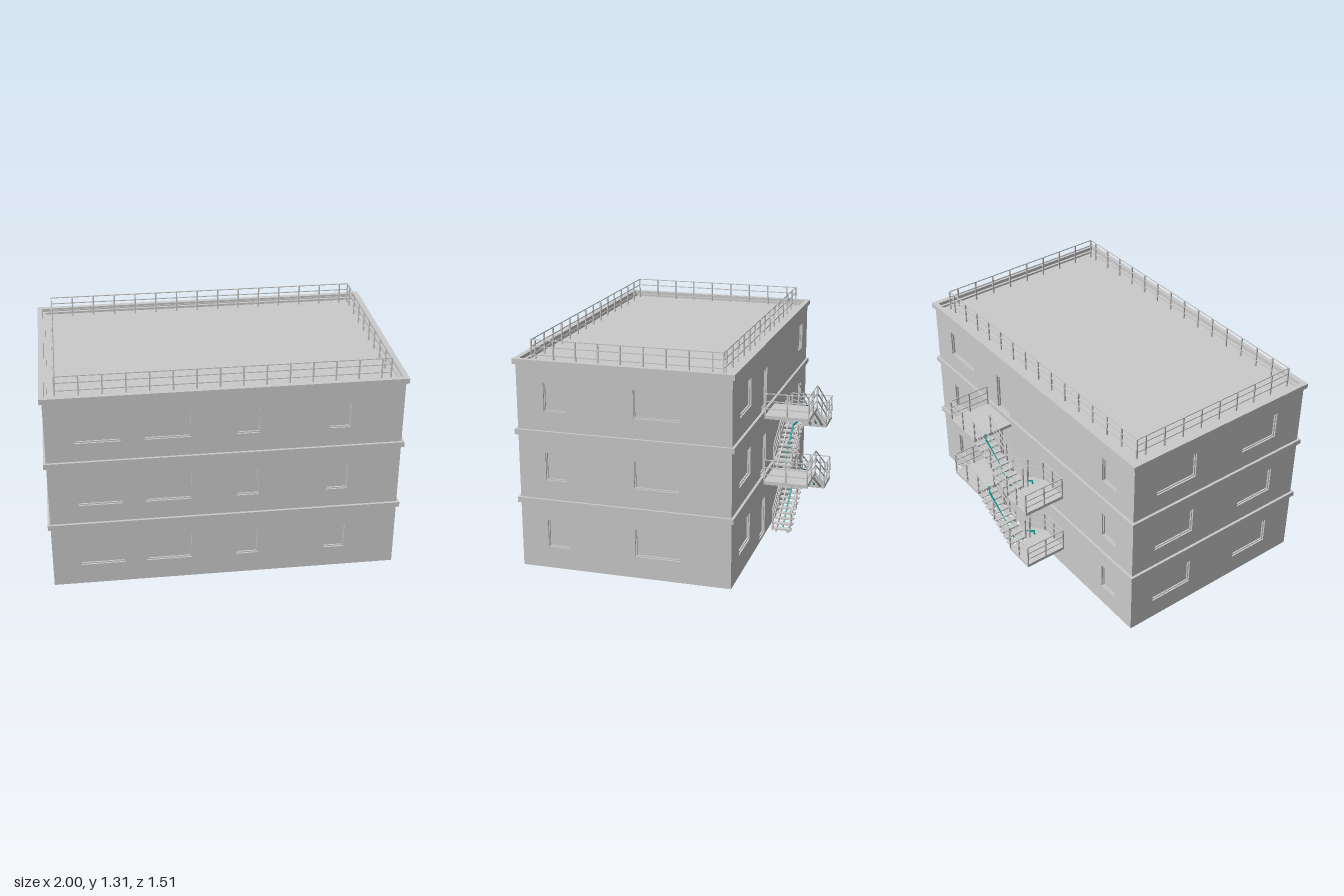
import * as THREE from 'three';

const grey = new THREE.MeshStandardMaterial({ color: 0xcacaca });
grey.name = 'concreteGrey';
const teal = new THREE.MeshStandardMaterial({ color: 0x00968f });
teal.name = 'tealLine';

export function createModel() {
  const model = new THREE.Group();
  model.name = 'building';

  const add = (parent, name, geo, mat = grey) => {
    const m = new THREE.Mesh(geo, mat);
    m.name = name;
    parent.add(m);
    return m;
  };
  const group = (parent, name) => {
    const g = new THREE.Group();
    g.name = name;
    parent.add(g);
    return g;
  };
  // Box given by its limits
  const box = (parent, name, x0, x1, y0, y1, z0, z1) => {
    const m = add(parent, name, new THREE.BoxGeometry(x1 - x0, y1 - y0, z1 - z0));
    m.position.set((x0 + x1) / 2, (y0 + y1) / 2, (z0 + z1) / 2);
  };
  // Rectangular bar between two points
  const bar = (parent, name, a, b, mat = grey, w = 0.005, t = 0.005) => {
    const p = new THREE.Vector3(...a), q = new THREE.Vector3(...b);
    const m = add(parent, name, new THREE.BoxGeometry(w, t, p.distanceTo(q)), mat);
    m.position.copy(p).add(q).multiplyScalar(0.5);
    m.lookAt(q);
  };
  const rect = (T, u0, u1, y0, y1) => new T().moveTo(u0, y0).lineTo(u1, y0).lineTo(u1, y1).lineTo(u0, y1).closePath();
  const extrude = (shape, depth) => new THREE.ExtrudeGeometry(shape, { depth, bevelEnabled: false });

  // Walls with recessed windows and doors; u runs along the wall seen from outside
  const STOREY = 0.395;
  const wall = (name, u0, u1, x, z, turn, windows, door) => {
    const g = group(model, name);
    g.position.set(x, 0, z);
    g.rotation.y = turn;
    const shape = rect(THREE.Shape, u0, u1, 0.015, 1.195);
    const openings = [];
    for (let f = 0; f < 3; f++) {
      for (const [a, b] of windows) openings.push(['window', a, b, 0.14 + f * STOREY, 0.30 + f * STOREY]);
      if (door) openings.push(['door', ...door, 0.032 + f * STOREY, 0.262 + f * STOREY]);
    }
    for (const [kind, a, b, c, d] of openings) {
      shape.holes.push(rect(THREE.Path, a, b, c, d));
      const ring = rect(THREE.Shape, a, b, c, d);
      ring.holes.push(rect(THREE.Path, a + 0.006, b - 0.006, c + 0.006, d - 0.006));
      add(g, kind + 'Frame', extrude(ring, 0.012)).position.z = 0.009;
      box(g, kind + 'Panel', a, b, c, d, 0.004, 0.012);
    }
    add(g, name + 'Shell', extrude(shape, 0.03));
  };
  wall('frontWall', -0.985, 0.985, 0, 0.71, 0, [[-0.825, -0.575], [-0.45, -0.195], [0.06, 0.185], [0.57, 0.69]]);
  wall('backWall', -0.985, 0.985, 0, -0.437, Math.PI, [[-0.82, -0.57], [0.71, 0.835]], [-0.317, -0.187]);
  wall('rightWall', -0.71, 0.437, 0.955, 0, Math.PI / 2, [[-0.585, -0.46], [-0.075, 0.18]]);
  wall('leftWall', -0.437, 0.71, -0.955, 0, -Math.PI / 2, [[-0.31, -0.04], [0.30, 0.55]]);

  // Plinth, floors, projecting bands and slightly recessed roof
  box(model, 'plinth', -0.95, 0.95, 0, 0.02, -0.435, 0.707);
  box(model, 'groundSlab', -0.955, 0.955, 0.015, 0.03, -0.437, 0.71);
  for (const y of [0.395, 0.79]) box(model, 'floorBand', -1, 1, y, y + 0.03, -0.482, 0.755);
  const DECK = 1.183;
  box(model, 'roofDeck', -0.955, 0.955, DECK - 0.02, DECK, -0.437, 0.71);
  const coping = rect(THREE.Shape, -1, 1, -0.755, 0.482);
  coping.holes.push(rect(THREE.Path, -0.97, 0.97, -0.725, 0.452));
  const cap = add(model, 'parapetCoping', extrude(coping, 0.03));
  cap.rotation.x = -Math.PI / 2;
  cap.position.y = 1.185;

  // Roof railing
  const roofRail = group(model, 'roofRailing');
  const X = 0.915, ZB = -0.4, ZF = 0.675;
  for (const y of [1.222, 1.268, 1.306]) {
    for (const z of [ZB, ZF]) bar(roofRail, 'rail', [-X, y, z], [X, y, z]);
    for (const x of [-X, X]) bar(roofRail, 'rail', [x, y, ZB], [x, y, ZF]);
  }
  const post = (parent, x, y0, y1, z) => box(parent, 'post', x - 0.004, x + 0.004, y0, y1, z - 0.004, z + 0.004);
  for (const z of [ZB, ZF]) {
    for (let i = 0; i < 15; i++) post(roofRail, -X + i * 0.127, DECK, 1.308, z);
    post(roofRail, X, DECK, 1.308, z);
  }
  for (const x of [-X, X]) for (let i = 1; i < 9; i++) post(roofRail, x, DECK, 1.308, ZF - i * 0.127);

  // Outside stair: landings, flights and their railings
  const stair = group(model, 'outsideStair');
  const XL = -0.195, XR = 0.128, ZI = -0.503, ZO = -0.752, HI = 0.128;
  const MIDDLE = [0.22, 0.615], MAIN = [0.425, 0.82];
  const guard = (a, b) => {
    for (const h of [0.04, 0.083, HI]) bar(stair, 'guardRail', [a[0], a[1] + h, a[2]], [b[0], b[1] + h, b[2]]);
    for (const t of [0, 0.5, 1]) {
      const y = a[1] + (b[1] - a[1]) * t;
      post(stair, a[0] + (b[0] - a[0]) * t, y - 0.01, y + HI + 0.002, a[2] + (b[2] - a[2]) * t);
    }
  };
  for (const y of MIDDLE) {
    box(stair, 'middleLanding', -0.385, XL, y - 0.02, y, -0.755, -0.5);
    guard([-0.382, y, ZI], [-0.382, y, ZO]);
    for (const z of [ZI, ZO]) guard([-0.382, y, z], [XL, y, z]);
  }
  for (const y of MAIN) {
    box(stair, 'mainLanding', XR, 0.38, y - 0.02, y, -0.755, -0.5);
    guard([0.377, y, ZI], [0.377, y, ZO]);
    guard([XR, y, ZO], [0.377, y, ZO]);
  }

  const STEPS = 10;
  const flight = (y0, y1, z0, z1, xa, xb, kink) => {
    const rise = (y1 - y0) / STEPS, run = (xb - xa) / (STEPS - 1), zc = (z0 + z1) / 2;
    for (let k = 1; k < STEPS; k++) {
      const a = xa + run * (k - 1), b = xa + run * k, y = y0 + rise * k;
      box(stair, 'tread', Math.min(a, b), Math.max(a, b), y - 0.008, y, z0, z1);
    }
    // Sloping stringers below the treads
    const s = new THREE.Shape().moveTo(xa, y0).lineTo(xa, y0 + rise - 0.004).lineTo(xb, y1 - 0.004)
      .lineTo(xb, y1 - 0.034).lineTo(xa + run, y0).closePath();
    for (const z of [zc - 0.036, zc + 0.036]) add(stair, 'stringer', extrude(s, 0.008)).position.z = z - 0.004;
    for (const z of [z0 + 0.0025, z1 - 0.0025]) guard([xa, y0 + rise, z], [xb, y1, z]);
    // Thin walking line, below the lower treads and above the upper ones, with a kinked end
    const start = [xa + run, y0 + rise - 0.006, zc], end = [xb - run, y1 - 0.008, zc];
    bar(stair, 'walkingLine', start, end, teal, 0.009, 0.006);
    bar(stair, 'walkingLineEnd', end, [xb, y1 + 0.005, zc + kink], teal, 0.009, 0.006);
  };
  [0.015, MAIN[0]].forEach((y, i) => {
    flight(y, MIDDLE[i], -0.615, -0.5, XR, XL, -0.02);
    flight(MIDDLE[i], MAIN[i], -0.755, -0.64, XL, XR, 0.018);
  });
  return model;
}
